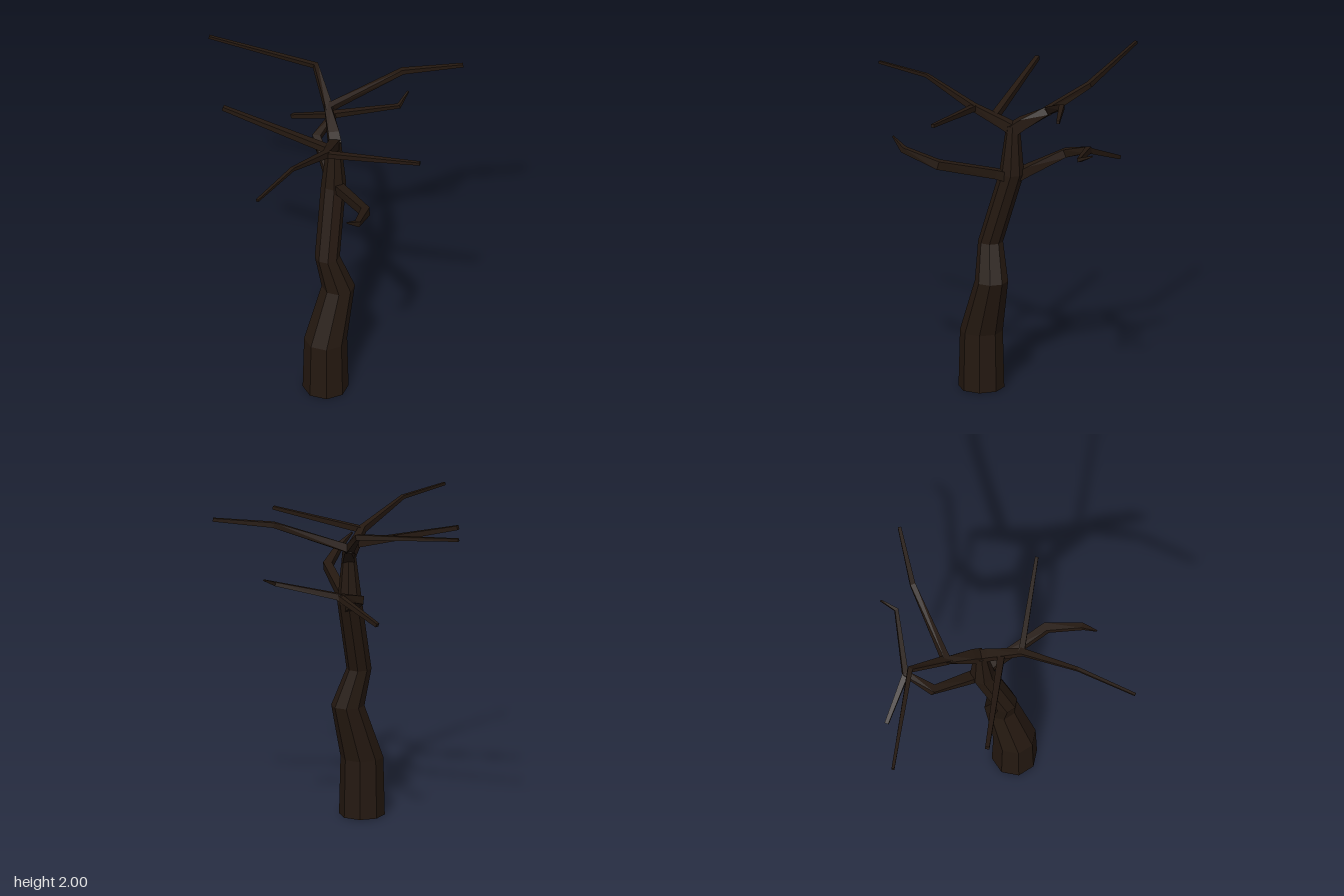
import * as THREE from 'three';

const bark = new THREE.MeshStandardMaterial({ color: 0x241810, flatShading: true });
const UP = new THREE.Vector3(0, 1, 0);

// Tapered faceted limb through stations [x, y, z, halfWidth]; level keeps the rings horizontal
function limb(name, stations, sides = 4, level = false) {
  const centres = stations.map(([x, y, z]) => new THREE.Vector3(x, y, z));
  const last = centres.length - 1;
  const positions = [];
  const index = [];

  centres.forEach((c, i) => {
    const u = new THREE.Vector3(0, 0, 1);
    const v = new THREE.Vector3(1, 0, 0);
    if (!level) {
      // Ring faces along the average of the neighbouring segments
      const t = new THREE.Vector3();
      if (i > 0) t.add(c.clone().sub(centres[i - 1]).normalize());
      if (i < last) t.add(centres[i + 1].clone().sub(c).normalize());
      t.normalize();
      u.crossVectors(UP, t).normalize();
      v.crossVectors(t, u);
    }
    const r = stations[i][3] / Math.cos(Math.PI / sides);
    for (let j = 0; j < sides; j++) {
      const a = ((j + 0.5) / sides) * Math.PI * 2;
      const p = c.clone().addScaledVector(u, r * Math.cos(a)).addScaledVector(v, r * Math.sin(a));
      positions.push(p.x, p.y, p.z);
    }
  });

  // Side walls
  for (let i = 0; i < last; i++) {
    for (let j = 0; j < sides; j++) {
      const k = (j + 1) % sides;
      const a = i * sides + j, b = i * sides + k;
      index.push(a, b, b + sides, a, b + sides, a + sides);
    }
  }
  // End caps
  const top = last * sides;
  for (let j = 1; j < sides - 1; j++) {
    index.push(0, j + 1, j, top, top + j, top + j + 1);
  }

  const indexed = new THREE.BufferGeometry();
  indexed.setAttribute('position', new THREE.Float32BufferAttribute(positions, 3));
  indexed.setIndex(index);
  const geometry = indexed.toNonIndexed();
  geometry.computeVertexNormals();
  const mesh = new THREE.Mesh(geometry, bark);
  mesh.name = name;
  return mesh;
}

export function createModel() {
  const tree = new THREE.Group();
  tree.name = 'bareTree';

  // Crooked eight-sided trunk
  tree.add(limb('trunk', [
    [0.17, 0, 0.045, 0.128],
    [0.17, 0.36, 0.045, 0.12],
    [0.217, 0.7, -0.048, 0.093],
    [0.16, 0.93, -0.012, 0.07],
    [0.15, 1.38, -0.15, 0.07],
    [0.15, 1.685, -0.16, 0.038],
  ], 8, true));

  // Lower boughs
  tree.add(limb('lowerFrontBranch', [
    [0.17, 1.36, -0.15, 0.03],
    [0.23, 1.39, -0.08, 0.028],
    [0.475, 1.48, 0.18, 0.026],
    [0.503, 1.55, 0.4, 0.017],
    [0.47, 1.61, 0.49, 0.004],
  ]));
  tree.add(limb('lowerBackBranch', [
    [0.14, 1.36, -0.17, 0.032],
    [0.09, 1.395, -0.23, 0.03],
    [-0.055, 1.49, -0.41, 0.025],
    [-0.008, 1.55, -0.59, 0.019],
    [0.36, 1.615, -0.72, 0.012],
    [0.382, 1.66, -0.82, 0.005],
  ]));
  tree.add(limb('lowerBackTwig', [
    [0.0, 1.55, -0.585, 0.018],
    [-0.3, 1.425, -0.645, 0.012],
  ]));

  // Upper back bough, forking in two
  tree.add(limb('upperBackBranch', [
    [0.155, 1.66, -0.16, 0.036],
    [0.125, 1.7, -0.21, 0.034],
    [0.045, 1.78, -0.35, 0.025],
    [0.415, 1.955, -0.63, 0.016],
    [0.75, 1.98, -0.78, 0.01],
  ]));
  tree.add(limb('upperBackFork', [
    [0.055, 1.77, -0.335, 0.024],
    [-0.11, 1.925, -0.54, 0.016],
    [-0.78, 1.99, -0.508, 0.009],
  ]));

  // Upper front bough with a twig to each side
  tree.add(limb('upperFrontBranch', [
    [0.15, 1.66, -0.17, 0.034],
    [0.16, 1.69, -0.11, 0.03],
    [0.188, 1.775, 0.09, 0.02],
    [0.105, 1.893, 0.45, 0.011],
    [0.015, 1.893, 0.82, 0.008],
  ]));
  tree.add(limb('upperLeftTwig', [
    [0.185, 1.77, 0.085, 0.018],
    [0.78, 1.835, 0.058, 0.01],
  ]));
  tree.add(limb('upperRightTwig', [
    [0.17, 1.715, -0.035, 0.022],
    [-0.5, 1.895, 0.015, 0.013],
  ]));

  return tree;
}
